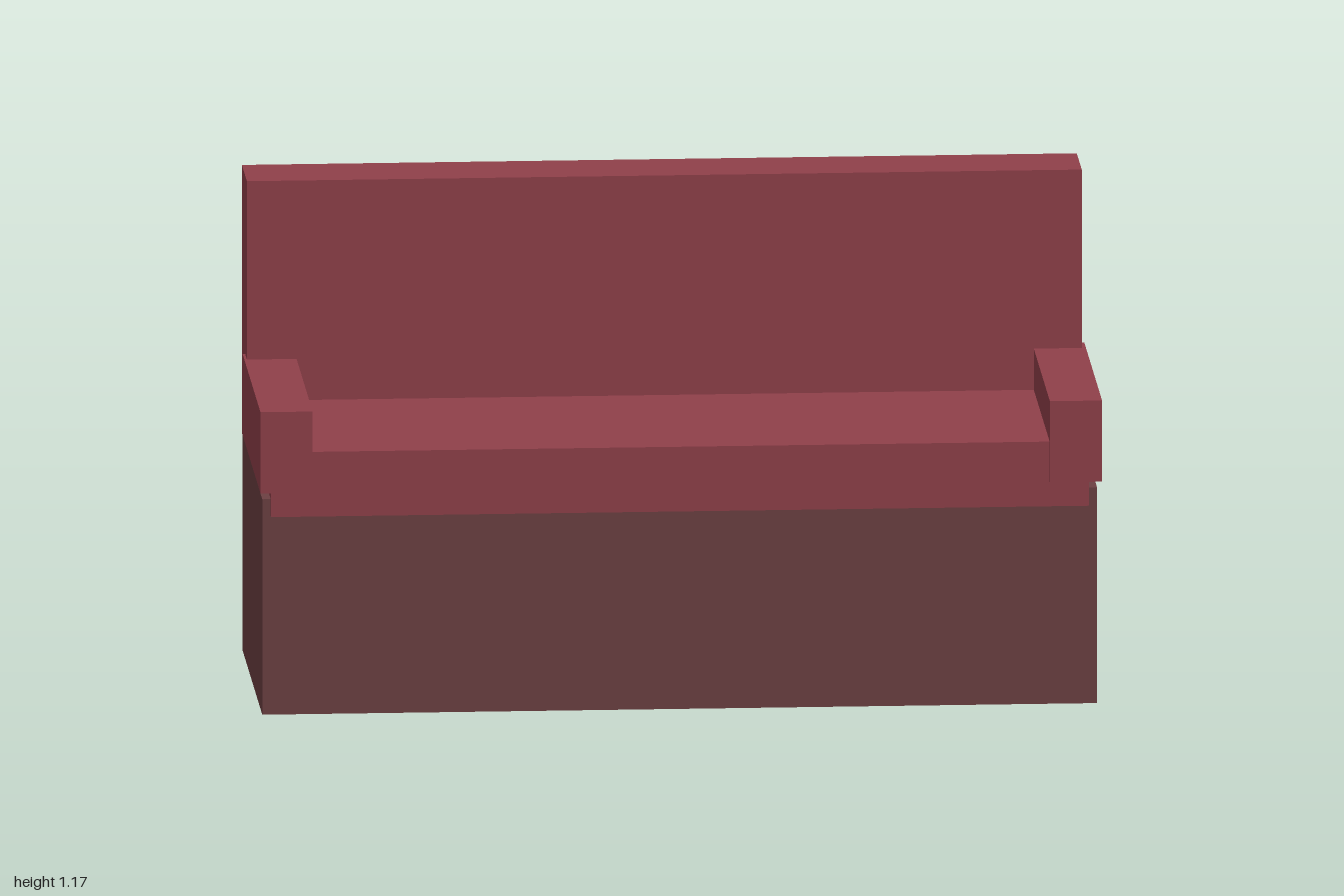
import * as THREE from 'three';

export function createModel() {
  const model = new THREE.Group();
  model.name = 'sofa';

  const upholstery = new THREE.MeshStandardMaterial({ color: 0x90404a });
  upholstery.name = 'red upholstery';
  const wood = new THREE.MeshStandardMaterial({ color: 0x6c4042 });
  wood.name = 'brown base';

  // Box given by its extents along each axis
  function addBox(name, material, [x0, x1], [y0, y1], [z0, z1]) {
    const mesh = new THREE.Mesh(new THREE.BoxGeometry(x1 - x0, y1 - y0, z1 - z0), material);
    mesh.position.set((x0 + x1) / 2, (y0 + y1) / 2, (z0 + z1) / 2);
    mesh.name = name;
    model.add(mesh);
  }

  // Solid plinth
  addBox('base', wood, [-0.994, 0.99], [0, 0.523], [-0.362, 0.357]);

  // Seat cushion, overhanging the front of the base
  addBox('seat', upholstery, [-0.974, 0.97], [0.483, 0.64], [-0.21, 0.374]);

  // Tall backrest, overhanging the rear of the base
  addBox('backrest', upholstery, [-0.994, 0.99], [0.523, 1.173], [-0.383, -0.202]);

  // Armrests, running slightly past the front of the backrest
  addBox('rightArmrest', upholstery, [-1, -0.876], [0.543, 0.74], [-0.264, 0.383]);
  addBox('leftArmrest', upholstery, [0.876, 1], [0.543, 0.74], [-0.264, 0.383]);

  return model;
}
